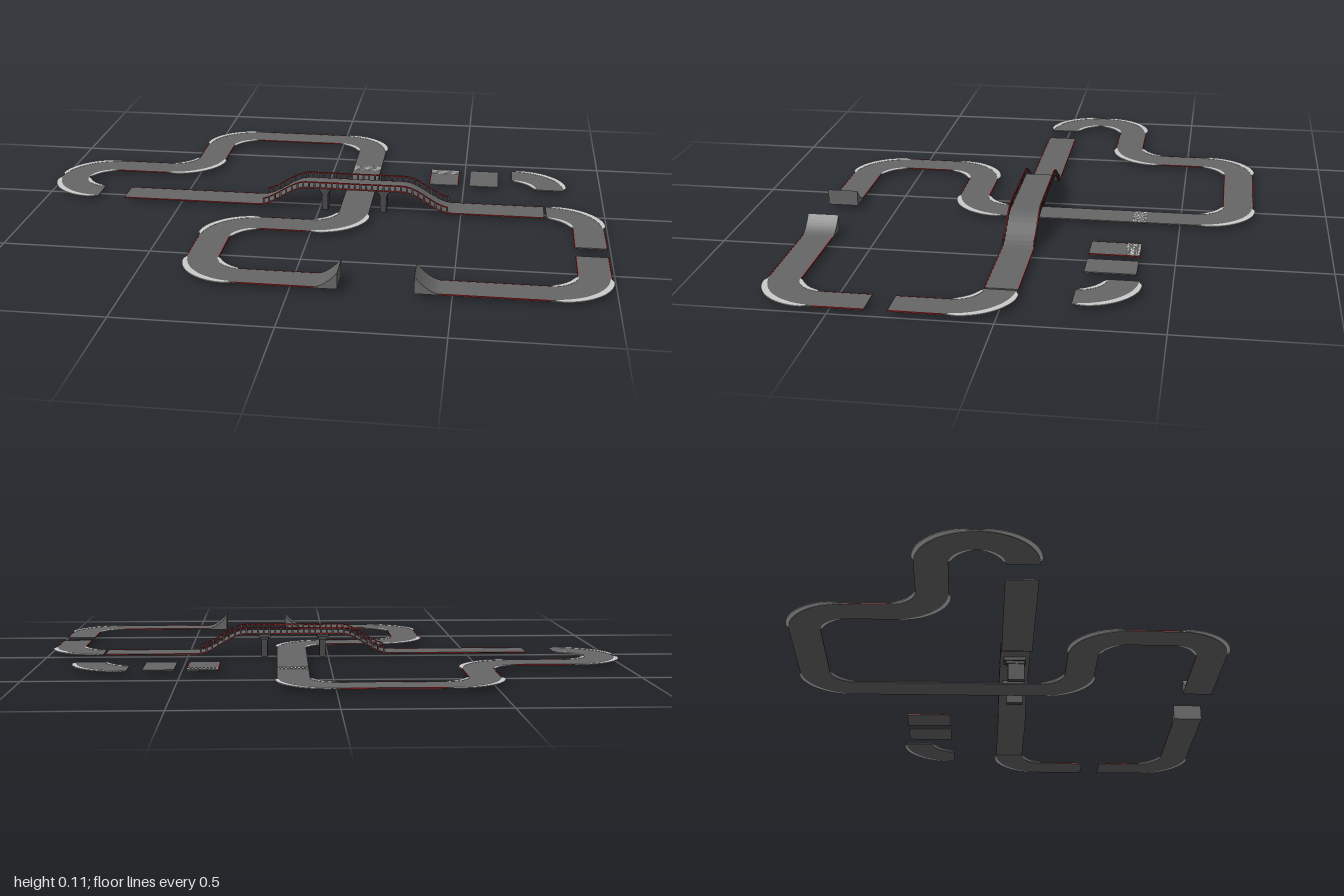
import * as THREE from 'three';
import { mergeGeometries } from 'three/addons/utils/BufferGeometryUtils.js';

const W = 0.105, R = 0.14, TOP = 0.0165, THICK = 0.004, Q = Math.PI / 2;
const paint = (color) => new THREE.MeshStandardMaterial({ color });
const road = paint(0x666666), dark = paint(0x484848), red = paint(0x9c1c1c), kerb = paint(0xcccccc);

export function createModel() {
  const model = new THREE.Group();

  function add(parent, name, geometry, material) {
    const mesh = new THREE.Mesh(geometry, material);
    mesh.name = name;
    parent.add(mesh);
    return mesh;
  }
  const box = (w, h, d, x, y, z) => new THREE.BoxGeometry(w, h, d).translate(x, y, z);

  // Plate drawn in plan (x, z), its top at the given height
  function plate(points, top, thick) {
    const shape = new THREE.Shape(points);
    return new THREE.ExtrudeGeometry(shape, { depth: thick, bevelEnabled: false })
      .rotateX(Q).translate(0, top, 0);
  }

  // Side outline (x, y) swept across z
  function slab(points, z, width) {
    const shape = new THREE.Shape(points.map(([x, y]) => new THREE.Vector2(x, y)));
    return new THREE.ExtrudeGeometry(shape, { depth: width, bevelEnabled: false })
      .translate(0, 0, z - width / 2);
  }

  // Curved band between two radii, each a function of t from 0 to 1
  function band(cx, cz, a0, a1, inner, outer, top, thick) {
    const pts = [], n = 20;
    const at = (t, r) => {
      const a = a0 + (a1 - a0) * t;
      pts.push(new THREE.Vector2(cx + r * Math.cos(a), cz + r * Math.sin(a)));
    };
    for (let i = 0; i <= n; i++) at(i / n, outer(i / n));
    for (let i = n; i >= 0; i--) at(i / n, inner(i / n));
    return plate(pts, top, thick);
  }

  // Corner piece with a bulging kerb on both sides
  function corner(parent, cx, cz, a0, a1) {
    const ri = R - W / 2, ro = R + W / 2, pad = (a1 - a0) * 0.05;
    const bulge = (t) => Math.pow(Math.max(0, Math.sin(Math.PI * t)), 0.4);
    add(parent, 'cornerRoad', band(cx, cz, a0, a1, () => ri, () => ro, TOP, THICK), road);
    add(parent, 'outerKerb', band(cx, cz, a0 + pad, a1 - pad,
      () => ro - 0.005, (t) => ro + 0.017 * bulge(t), TOP + 0.0008, 0.003), kerb);
    add(parent, 'innerKerb', band(cx, cz, a0 + pad, a1 - pad,
      (t) => ri - 0.013 * bulge(t), () => ri + 0.003, TOP + 0.0008, 0.003), kerb);
  }

  // Straight piece, with red edge lines if striped
  function straight(parent, x, z, heading, length, striped) {
    const piece = new THREE.Group();
    piece.name = 'straightPiece';
    add(piece, 'straightRoad', box(length, THICK, W, length / 2, TOP - THICK / 2, 0), road);
    if (striped) for (const s of [-1, 1]) {
      add(piece, 'edgeLine', box(length, 0.003, 0.003, length / 2, TOP - 0.001, s * (W / 2 - 0.001)), red);
    }
    piece.position.set(x, 0, z);
    piece.rotation.y = -heading;
    parent.add(piece);
  }

  // Lay pieces one after another: number = straight, 'R'/'L' = corner, 'P' + length = plain straight
  function lay(name, x, z, heading, steps) {
    const track = new THREE.Group();
    track.name = name;
    for (const step of steps) {
      if (step === 'R' || step === 'L') {
        const s = step === 'R' ? 1 : -1;
        const cx = x + R * Math.cos(heading + s * Q), cz = z + R * Math.sin(heading + s * Q);
        const a0 = heading - s * Q, a1 = heading;
        corner(track, cx, cz, a0, a1);
        x = cx + R * Math.cos(a1);
        z = cz + R * Math.sin(a1);
        heading += s * Q;
      } else {
        const plain = typeof step === 'string', len = plain ? Number(step.slice(1)) : step;
        straight(track, x, z, heading, len, !plain);
        x += len * Math.cos(heading);
        z += len * Math.sin(heading);
      }
    }
    model.add(track);
  }

  // Track runs
  lay('mainTrack', -0.805, 0.0135, Math.PI,
    ['R', 'R', 0.185, 'L', 0.15, 'R', 0.33, 'R', 'P0.66', 'R', 0.16, 'L', 0.165, 'L', 0.247]);
  lay('bridgeExitTrack', 0.795, 0.0135, 0, ['R', 0.165]);
  lay('jumpLandingTrack', 0.935, 0.39, Q, [0.16, 'R', 0.335]);

  // Spare pieces
  lay('spareStart', 0.427, -0.385, Q, [0.165]);
  lay('spareStraight', 0.573, -0.385, Q, ['P0.165']);
  lay('spareCorner', 0.675, -0.35, 0, ['R']);

  // Chequered start lines
  for (const x of [0.131, 0.427]) {
    const cols = 16, rows = 7, cell = 0.1 / cols, squares = [];
    for (let i = 0; i < cols; i++) for (let j = i % 2; j < rows; j += 2) {
      squares.push(box(cell, 0.001, cell, x - 0.05 + (i + 0.5) * cell, TOP + 0.0003, -0.383 + (j + 0.5) * cell));
    }
    add(model, 'startLine', mergeGeometries(squares), kerb);
  }

  // Jump ramps facing each other over the gap
  for (const [foot, lip] of [[0.075, 0.15], [0.46, 0.385]]) {
    const pts = [[lip, TOP - THICK], [foot, TOP - THICK]];
    for (let i = 0; i <= 10; i++) {
      const t = i / 10;
      pts.push([foot + (lip - foot) * t, TOP + 0.051 * Math.pow(t, 1.7)]);
    }
    add(model, 'jumpRamp', slab(pts, 0.689, W), road);
  }

  // Bridge: flat approaches, smooth climbs and a level middle
  const bridge = new THREE.Group(), bz = 0.0135;
  bridge.name = 'bridge';
  model.add(bridge);
  const deckY = (x) => TOP + 0.071 * THREE.MathUtils.smoothstep(x, -0.215, -0.045)
    * (1 - THREE.MathUtils.smoothstep(x, 0.295, 0.465));
  function strip(x0, x1, lift, thick, z, width) {
    const upper = [], lower = [], n = 70;
    for (let i = 0; i <= n; i++) {
      const x = x0 + (x1 - x0) * i / n, y = deckY(x) + lift;
      upper.push([x, y]);
      lower.unshift([x, y - thick]);
    }
    return slab([...upper, ...lower], z, width);
  }
  add(bridge, 'bridgeDeck', strip(-0.707, 0.788, 0, THICK, bz, W), road);
  for (const s of [-1, 1]) {
    const z = bz + s * (W / 2 - 0.001), posts = [];
    add(bridge, 'bridgeEdgeLine', strip(-0.707, 0.788, 0.0005, 0.003, z, 0.003), red);
    add(bridge, 'handRail', strip(-0.2, 0.455, 0.0215, 0.004, z, 0.004), red);
    for (let i = 0; i <= 32; i++) {
      const x = -0.197 + i * 0.0203;
      posts.push(box(0.006, 0.02, 0.003, x, deckY(x) + 0.009, z));
    }
    add(bridge, 'railPosts', mergeGeometries(posts), dark);
  }

  // Bridge pillars with a wider stepped head
  for (const x of [0.02, 0.227]) {
    const pillar = new THREE.Group();
    pillar.name = 'bridgePillar';
    add(pillar, 'pillarShaft', box(0.022, 0.066, 0.06, x, 0.033, 0.018), dark);
    add(pillar, 'pillarNeck', box(0.03, 0.01, 0.068, x, 0.067, 0.016), dark);
    add(pillar, 'pillarHead', box(0.042, 0.0125, 0.08, x, 0.078, bz), dark);
    bridge.add(pillar);
  }
  return model;
}
